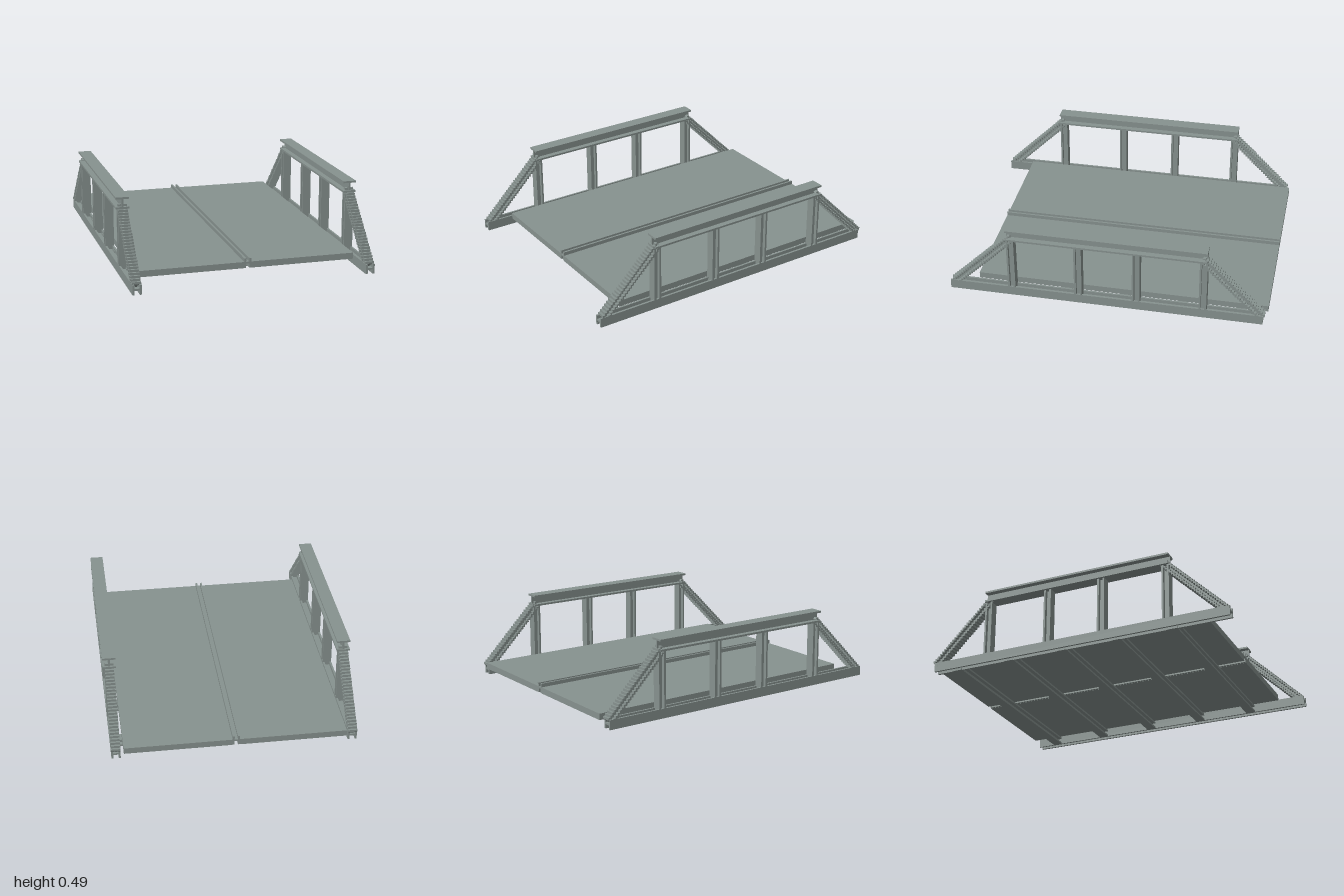
import * as THREE from 'three';

const steel = new THREE.MeshStandardMaterial({ color: 0x87928f });
steel.name = 'greySteel';
const T = 0.012; // plate thickness

function box(parent, name, x0, x1, y0, y1, z0, z1) {
  const mesh = new THREE.Mesh(new THREE.BoxGeometry(x1 - x0, y1 - y0, z1 - z0), steel);
  mesh.position.set((x0 + x1) / 2, (y0 + y1) / 2, (z0 + z1) / 2);
  mesh.name = name;
  parent.add(mesh);
}

function group(parent, name) {
  const g = new THREE.Group();
  g.name = name;
  parent.add(g);
  return g;
}

// Stepped band climbing inward, between two offsets below the outer stair line
function stairBand(from, to, width) {
  const steps = 27, s = 0.0142;
  const line = (d) => {
    const pts = [];
    for (let i = 0; i < steps; i++) {
      const u = 0.985 - i * s - d, y = 0.06 + i * s - d;
      pts.push(new THREE.Vector2(u, y), new THREE.Vector2(u, y + s));
    }
    pts.push(new THREE.Vector2(0.985 - steps * s - d, 0.06 + steps * s - d));
    return pts;
  };
  const shape = new THREE.Shape([...line(from), ...line(to).reverse()]);
  const geo = new THREE.ExtrudeGeometry(shape, { depth: width, bevelEnabled: false });
  return geo.translate(0, 0, -width / 2);
}

function truss(parent, side) {
  const g = group(parent, side > 0 ? 'leftTruss' : 'rightTruss');
  g.position.x = side * 0.722;

  // Bottom chord: H-beam lying on its side
  const bottom = group(g, 'bottomChord');
  for (const x of [-0.028, 0.028 - T]) box(bottom, 'chordFlange', x, x + T, 0, 0.06, -0.975, 1);
  box(bottom, 'chordWeb', -0.016, 0.016, 0.026, 0.038, -0.975, 1);

  // Top chord: upright I-beam
  const top = group(g, 'topChord');
  for (const y of [0.415, 0.476]) box(top, 'chordFlange', -0.041, 0.041, y, y + T, -0.625, 0.625);
  box(top, 'chordWeb', -0.006, 0.006, 0.427, 0.476, -0.625, 0.625);

  // Posts with flanges facing front and back
  for (const z of [0.601, 0.177, -0.187, -0.602]) {
    const post = group(g, 'post');
    box(post, 'postFlange', -0.028, 0.028, 0.038, 0.415, z - 0.024, z - 0.024 + T);
    box(post, 'postFlange', -0.028, 0.028, 0.038, 0.415, z + 0.024 - T, z + 0.024);
    box(post, 'postWeb', -0.006, 0.006, 0.038, 0.415, z - 0.012, z + 0.012);
  }

  // Stepped diagonal end braces
  for (const end of [1, -1]) {
    const brace = group(g, end > 0 ? 'frontBrace' : 'backBrace');
    for (const [from, to, width, name] of [
      [0, 0.009, 0.056, 'outerFlange'],
      [0.009, 0.024, 0.012, 'braceWeb'],
      [0.024, 0.033, 0.056, 'innerFlange'],
    ]) {
      const mesh = new THREE.Mesh(stairBand(from, to, width).rotateY(-end * Math.PI / 2), steel);
      mesh.name = name;
      brace.add(mesh);
    }
  }
}

export function createModel() {
  const model = new THREE.Group();
  model.name = 'trussBridge';
  truss(model, 1);
  truss(model, -1);

  // Cross beams under the deck
  for (let i = 0; i < 5; i++) {
    const z = -0.83 + i * 0.364;
    const beam = group(model, 'crossBeam');
    for (const y of [0, 0.036]) box(beam, 'beamFlange', -0.71, 0.706, y, y + T, z - 0.03, z + 0.03);
    box(beam, 'beamWeb', -0.71, 0.706, T, 0.036, z - 0.006, z + 0.006);
  }

  // Deck slabs either side of the central channel
  box(model, 'rightDeck', -0.68, -0.024, 0.048, 0.087, -1, 0.83);
  box(model, 'leftDeck', 0.02, 0.676, 0.048, 0.087, -1, 0.83);

  // Central channel joining the slabs
  const rail = group(model, 'centreChannel');
  for (const x of [-0.024, 0.008]) box(rail, 'channelSide', x, x + T, 0.049, 0.11, -1, 0.83);
  box(rail, 'channelWeb', -0.012, 0.008, 0.075, 0.087, -1, 0.83);
  return model;
}
